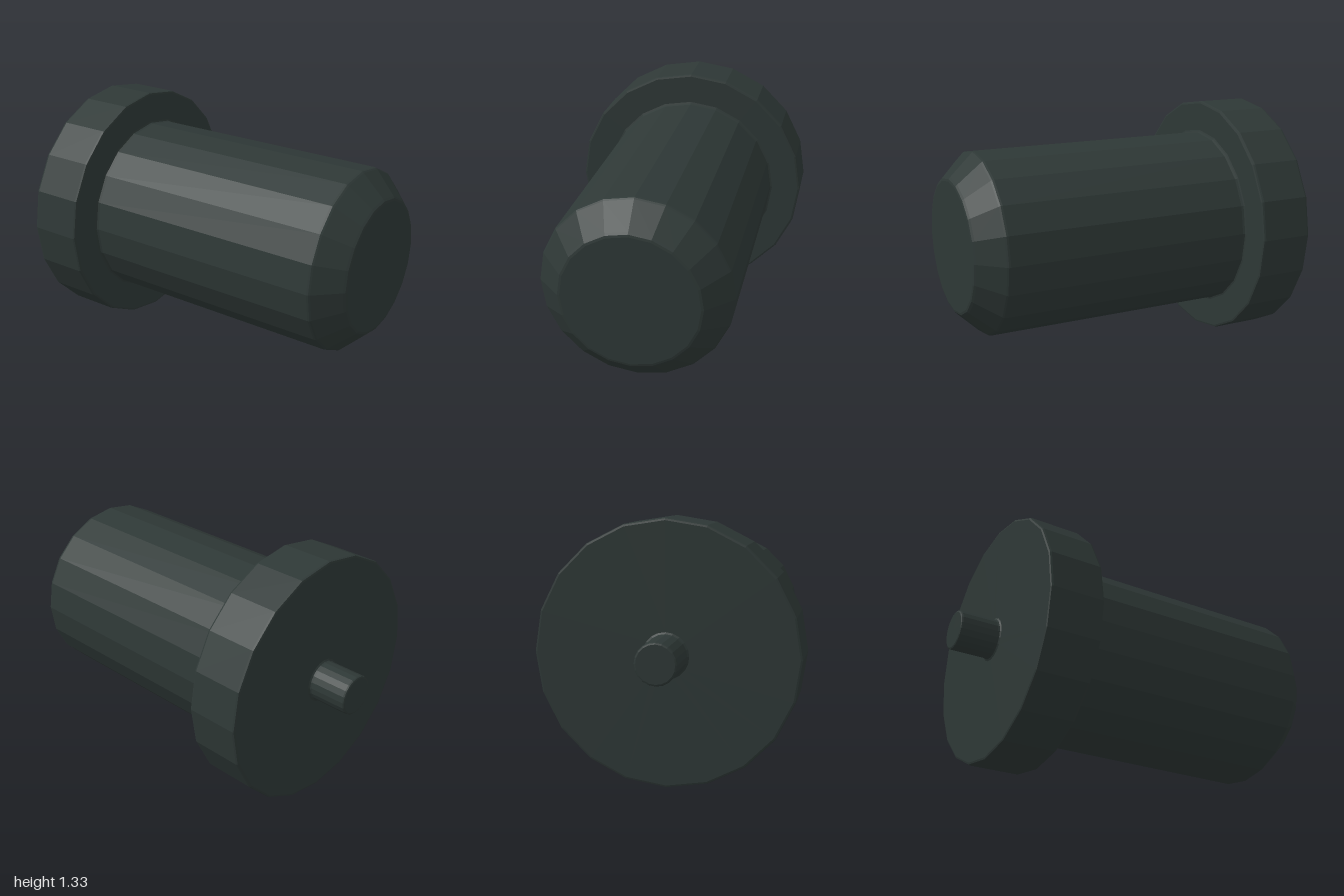
import * as THREE from 'three';

const SIDES = 20;
const AXIS_HEIGHT = 0.665;

export function createModel() {
  const model = new THREE.Group();
  model.name = 'flangedPlug';

  const darkMetal = new THREE.MeshStandardMaterial({ color: 0x2e3836, flatShading: true });
  darkMetal.name = 'dark metal';

  // Turn a profile of [radius, z] pairs, listed back to front, around the z axis
  const turned = (name, profile) => {
    const points = profile.map(([r, z]) => new THREE.Vector2(r, z));
    const geometry = new THREE.LatheGeometry(points, SIDES);
    geometry.rotateX(Math.PI / 2);
    const mesh = new THREE.Mesh(geometry, darkMetal);
    mesh.name = name;
    mesh.position.y = AXIS_HEIGHT;
    model.add(mesh);
  };

  // Thin rear pin with a bevelled tip and a small fillet at its root
  turned('rearPin', [
    [0, -1], [0.095, -1], [0.102, -0.997], [0.105, -0.99],
    [0.105, -0.8], [0.108, -0.791], [0.117, -0.786],
  ]);

  // Wide flange with softened rims
  turned('flange', [
    [0.117, -0.786], [0.653, -0.786], [0.662, -0.783], [0.665, -0.774],
    [0.665, -0.506], [0.662, -0.497], [0.653, -0.494], [0.5, -0.494],
  ]);

  // Main barrel with a root fillet and a chamfered nose
  turned('barrel', [
    [0.5, -0.494], [0.491, -0.491], [0.487, -0.48],
    [0.487, 0.855], [0.485, 0.865], [0.479, 0.873],
    [0.367, 0.988], [0.357, 0.997], [0.345, 1], [0, 1],
  ]);

  return model;
}
